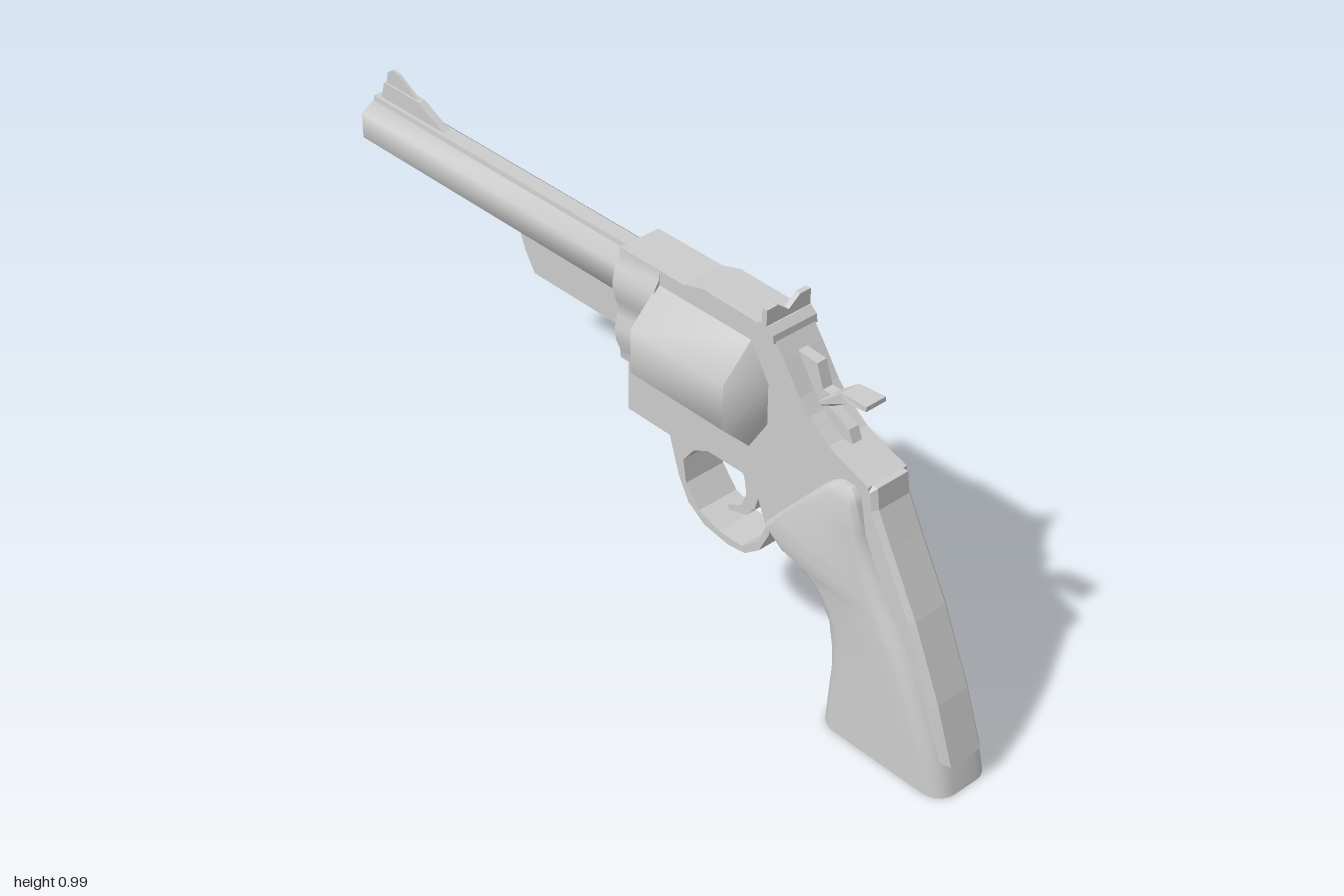
import * as THREE from 'three';
import { toCreasedNormals } from 'three/addons/utils/BufferGeometryUtils.js';

const material = new THREE.MeshStandardMaterial({ color: 0xcccccc });
const shapeOf = (pts) => new THREE.Shape(pts.map(([a, b]) => new THREE.Vector2(a, b)));

// Side profile given as [z, y], extruded symmetrically across x
function sideExtrude(pts, half, { hole, bevel = 0 } = {}) {
  const shape = shapeOf(pts);
  if (hole) shape.holes.push(shapeOf(hole));
  const depth = 2 * (half - bevel);
  const g = new THREE.ExtrudeGeometry(shape, {
    depth, bevelEnabled: bevel > 0, bevelSize: bevel, bevelThickness: bevel,
    bevelOffset: -bevel, bevelSegments: 1,
  });
  return g.translate(0, 0, -depth / 2).rotateY(-Math.PI / 2);
}

// Half outline given as [x, y], mirrored and extruded from z0 to z1
function frontExtrude(half, z0, z1) {
  const mirrored = half.map(([x, y]) => [-x, y]).reverse();
  return new THREE.ExtrudeGeometry(shapeOf([...half, ...mirrored]), { depth: z1 - z0, bevelEnabled: false })
    .translate(0, 0, z0);
}

// Faceted turned part along z; profile is [radius, -z]
function turned(pts, sides, start, crease, y) {
  const g = new THREE.LatheGeometry(pts.map(([r, h]) => new THREE.Vector2(r, h)), sides, start);
  return toCreasedNormals(g.rotateX(-Math.PI / 2).translate(0, y, 0), crease);
}

// Grip lofted from rounded sections: [y, front z, back z, half width, front radius, back radius]
function gripGeometry() {
  const rows = [
    [0, 0.617, 1.0, 0.085, 0.06, 0.05], [0.075, 0.622, 0.982, 0.085, 0.06, 0.05],
    [0.15, 0.629, 0.95, 0.085, 0.06, 0.05], [0.22, 0.627, 0.918, 0.085, 0.06, 0.05],
    [0.29, 0.615, 0.885, 0.085, 0.06, 0.05], [0.34, 0.585, 0.853, 0.085, 0.06, 0.05],
    [0.375, 0.55, 0.831, 0.085, 0.06, 0.05], [0.395, 0.515, 0.818, 0.085, 0.06, 0.05],
    [0.41, 0.463, 0.808, 0.085, 0.045, 0.05], [0.445, 0.43, 0.786, 0.085, 0.025, 0.045],
    [0.49, 0.467, 0.757, 0.085, 0.022, 0.04], [0.57, 0.537, 0.718, 0.085, 0.022, 0.03],
    [0.64, 0.598, 0.704, 0.083, 0.022, 0.022], [0.662, 0.622, 0.698, 0.076, 0.02, 0.02],
    [0.677, 0.65, 0.685, 0.068, 0.01, 0.01],
  ];
  const steps = 5, ring = 4 * (steps + 1), pos = [], idx = [];
  const addRow = ([y, zf, zb, w, rf, rb], collapse) => {
    for (let q = 0; q < 4; q++) for (let i = 0; i <= steps; i++) {
      const a = (q + i / steps) * Math.PI / 2;
      const sx = q < 2 ? 1 : -1, back = q === 0 || q === 3;
      const r = back ? rb : rf;
      const x = sx * (w - r) + r * Math.sin(a);
      const z = (back ? zb - r : zf + r) + r * Math.cos(a);
      pos.push(collapse ? 0 : x, y, collapse ? (zf + zb) / 2 : z);
    }
  };
  addRow(rows[0], true);
  rows.forEach((r) => addRow(r, false));
  addRow(rows[rows.length - 1], true);
  for (let j = 0; j < rows.length + 1; j++) for (let i = 0; i < ring; i++) {
    const a = j * ring + i, b = j * ring + (i + 1) % ring;
    idx.push(a, b, a + ring, b, b + ring, a + ring);
  }
  const g = new THREE.BufferGeometry();
  g.setAttribute('position', new THREE.Float32BufferAttribute(pos, 3));
  g.setIndex(idx);
  return toCreasedNormals(g, 0.7);
}

export function createModel() {
  const group = new THREE.Group();
  const add = (name, geometry) => {
    const mesh = new THREE.Mesh(geometry, material);
    mesh.name = name;
    group.add(mesh);
  };

  // Frame with the trigger guard opening
  add('frame', sideExtrude([
    [-0.06, 0.925], [0.147, 0.925], [0.205, 0.943], [0.38, 0.94], [0.43, 0.925], [0.46, 0.885],
    [0.51, 0.813], [0.54, 0.78], [0.6, 0.735], [0.68, 0.705], [0.72, 0.693], [0.72, 0.62], [0.74, 0.5],
    [0.6, 0.45], [0.433, 0.45], [0.43, 0.4], [0.4, 0.34], [0.355, 0.305], [0.3, 0.298], [0.222, 0.31],
    [0.168, 0.345], [0.135, 0.405], [0.105, 0.5], [-0.035, 0.5], [-0.035, 0.635], [-0.06, 0.68],
  ], 0.058, {
    hole: [
      [0.34, 0.524], [0.23, 0.522], [0.185, 0.5], [0.15, 0.455], [0.16, 0.395], [0.205, 0.342],
      [0.27, 0.32], [0.345, 0.32], [0.4, 0.365], [0.42, 0.42], [0.39, 0.487],
    ],
  }));

  // Chamfered strap down the back of the grip
  add('backStrap', sideExtrude([
    [0.65, 0.693], [0.735, 0.693], [0.742, 0.64], [0.783, 0.56], [0.864, 0.41], [0.944, 0.225],
    [0.993, 0.08], [0.955, 0.075], [0.9, 0.2], [0.78, 0.42], [0.65, 0.6],
  ], 0.058, { bevel: 0.012 }));

  // Bulged front of the frame around barrel and rod
  add('frameFront', toCreasedNormals(frontExtrude([
    [0.058, 0.63], [0.06, 0.655], [0.072, 0.685], [0.075, 0.72], [0.067, 0.75], [0.064, 0.77],
    [0.072, 0.795], [0.08, 0.825], [0.08, 0.85], [0.072, 0.88], [0.06, 0.9], [0.058, 0.924],
  ], -0.0605, 0.07), 0.7));

  // Eight-sided cylinder with a tapered rear
  add('cylinder', turned([
    [0.01, -0.415], [0.085, -0.415], [0.1515, -0.36], [0.1515, -0.065], [0.01, -0.065],
  ], 8, Math.PI / 8, 0.8, 0.747));

  // Hollow six-sided barrel, top rib and rod housing
  add('barrel', turned([
    [0.0675, 0.04], [0.0675, 1], [0.045, 1], [0.045, 0.1], [0.001, 0.1],
  ], 6, 0, 1.2, 0.838));
  add('barrelRib', frontExtrude([[0.022, 0.885], [0.02, 0.906]], -0.999, -0.05));
  add('rodHousing', sideExtrude([
    [-0.05, 0.79], [-0.05, 0.68], [-0.395, 0.68], [-0.43, 0.735], [-0.45, 0.79],
  ], 0.032, { bevel: 0.008 }));

  // Front sight
  add('frontSightRamp', sideExtrude([
    [-0.73, 0.9], [-0.835, 0.95], [-0.968, 0.95], [-0.982, 0.9],
  ], 0.01));
  add('frontSightBlade', sideExtrude([
    [-0.835, 0.945], [-0.875, 0.965], [-0.915, 0.988], [-0.94, 0.992], [-0.958, 0.98], [-0.967, 0.945],
  ], 0.004));

  // Rear sight: base bar and notched plate
  add('rearSightBase', sideExtrude([
    [0.375, 0.915], [0.375, 0.942], [0.395, 0.952], [0.415, 0.95], [0.432, 0.935], [0.435, 0.915],
  ], 0.065));
  add('rearSightPlate', frontExtrude([
    [0.065, 0.945], [0.065, 0.99], [0.033, 0.99], [0, 0.965],
  ], 0.398, 0.412));

  // Hammer, widened towards the thumb spur
  const hammer = sideExtrude([
    [0.675, 0.862], [0.675, 0.85], [0.62, 0.843], [0.57, 0.805], [0.5, 0.77], [0.44, 0.8],
    [0.445, 0.89], [0.515, 0.885], [0.535, 0.828], [0.56, 0.828], [0.6, 0.858],
  ], 0.014);
  const p = hammer.attributes.position;
  for (let i = 0; i < p.count; i++) {
    p.setX(i, p.getX(i) * (1 + 1.1 * THREE.MathUtils.clamp((p.getZ(i) - 0.56) / 0.05, 0, 1)));
  }
  hammer.computeVertexNormals();
  add('hammer', hammer);
  add('hammerHeel', sideExtrude([[0.628, 0.735], [0.615, 0.765], [0.56, 0.792], [0.5, 0.81], [0.5, 0.73]], 0.014));

  // Trigger
  add('trigger', sideExtrude([
    [0.36, 0.54], [0.357, 0.45], [0.345, 0.405], [0.32, 0.375], [0.265, 0.357], [0.255, 0.369],
    [0.3, 0.39], [0.317, 0.43], [0.312, 0.465], [0.29, 0.54],
  ], 0.02));

  add('grip', gripGeometry());
  return group;
}
